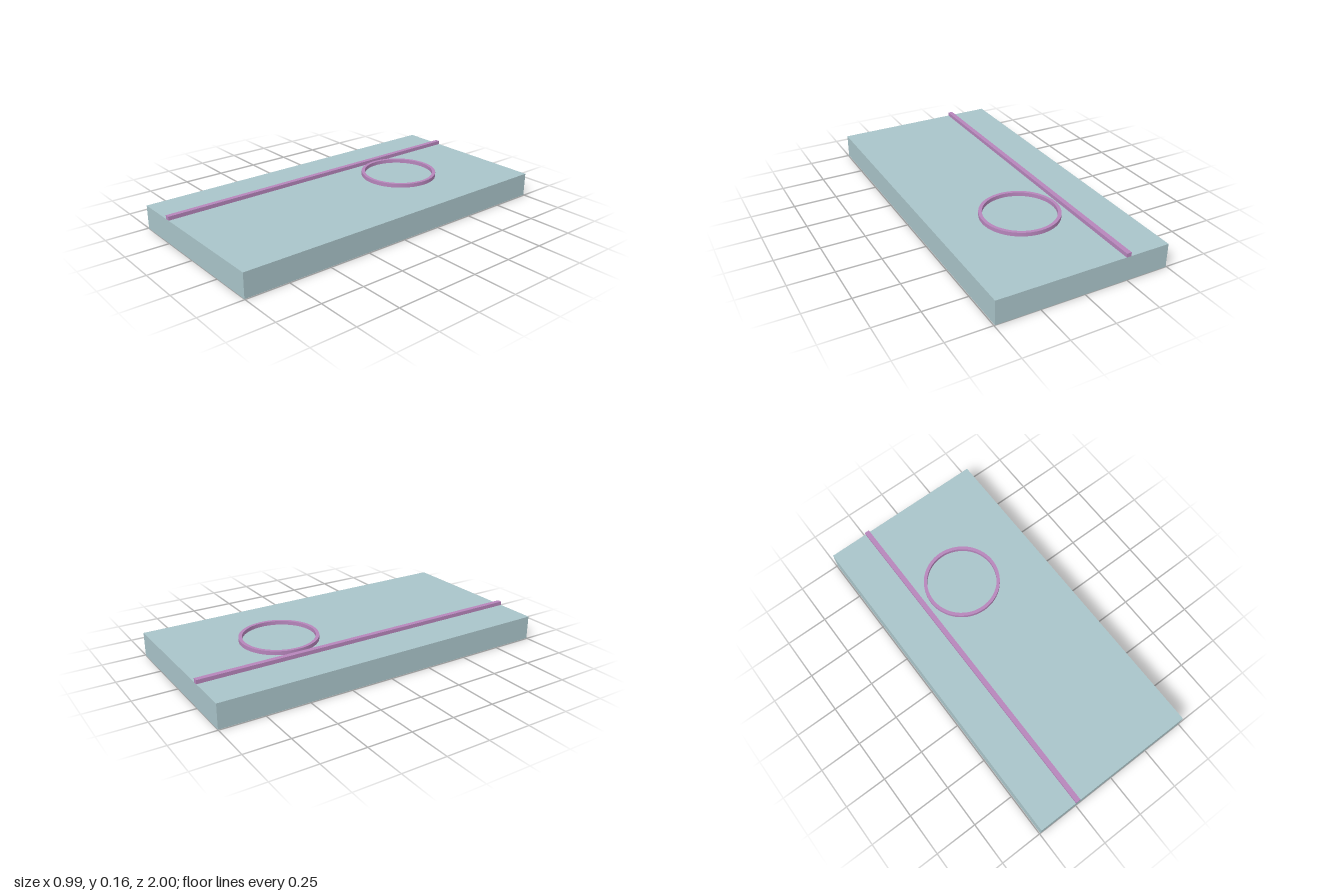
import * as THREE from 'three';
import { mergeGeometries } from 'three/addons/utils/BufferGeometryUtils.js';

const SLAB_TOP = 0.138;
const TRIM_HEIGHT = 0.022;

// Ring of rectangular section: one lathe per side keeps the edges sharp and the curve smooth
function ringGeometry(inner, outer, height) {
  const profile = [[inner, 0], [outer, 0], [outer, height], [inner, height]]
    .map(([r, y]) => new THREE.Vector2(r, y));
  return mergeGeometries(profile.map((point, i) =>
    new THREE.LatheGeometry([point, profile[(i + 1) % profile.length]], 64)));
}

function addPart(group, name, geometry, material, x, y, z) {
  const mesh = new THREE.Mesh(geometry, material);
  mesh.name = name;
  mesh.position.set(x, y, z);
  group.add(mesh);
}

export function createModel() {
  const model = new THREE.Group();
  model.name = 'slabWithRaisedLineAndRing';

  const paleTeal = new THREE.MeshStandardMaterial({ color: 0xa9c4c9 });
  paleTeal.name = 'paleTeal';
  const mauve = new THREE.MeshStandardMaterial({ color: 0xb685bb });
  mauve.name = 'mauve';

  // Base slab
  addPart(model, 'slab', new THREE.BoxGeometry(0.99, SLAB_TOP, 2),
    paleTeal, 0, SLAB_TOP / 2, 0);

  // Raised line running the full length
  addPart(model, 'raisedLine', new THREE.BoxGeometry(0.028, TRIM_HEIGHT, 2),
    mauve, -0.249, SLAB_TOP + TRIM_HEIGHT / 2, 0);

  // Raised ring towards the back
  addPart(model, 'raisedRing', ringGeometry(0.203, 0.222, TRIM_HEIGHT),
    mauve, 0.014, SLAB_TOP, -0.397);

  return model;
}
